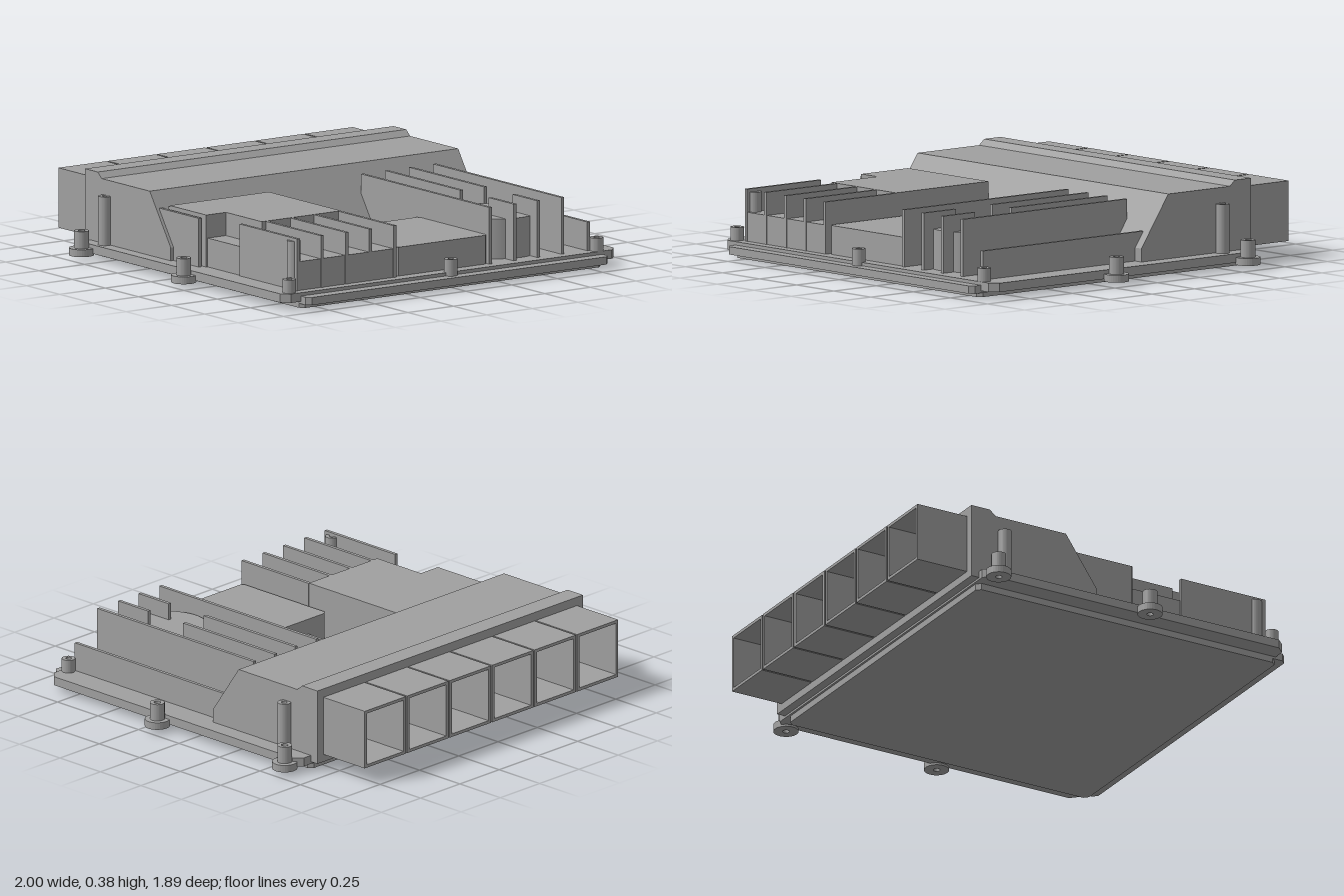
import * as THREE from 'three';

const casting = new THREE.MeshStandardMaterial({ color: 0xa0a0a0 });
casting.name = 'cast grey';

export function createModel() {
  const model = new THREE.Group();
  model.name = 'controlUnit';

  function add(name, geometry) {
    const mesh = new THREE.Mesh(geometry, casting);
    mesh.name = name;
    model.add(mesh);
    return mesh;
  }

  // Box given by its limits on each axis
  function block(name, x0, x1, y0, y1, z0, z1) {
    const mesh = add(name, new THREE.BoxGeometry(x1 - x0, y1 - y0, z1 - z0));
    mesh.position.set((x0 + x1) / 2, (y0 + y1) / 2, (z0 + z1) / 2);
    return mesh;
  }

  const outline = (points) => new THREE.Shape(points.map(([a, b]) => new THREE.Vector2(a, b)));

  // Flat slab with cut corners
  function slab(name, x0, x1, y0, y1, z0, z1, c) {
    const shape = outline([
      [x0 + c, -z1], [x1 - c, -z1], [x1, -z1 + c], [x1, -z0 - c],
      [x1 - c, -z0], [x0 + c, -z0], [x0, -z0 - c], [x0, -z1 + c],
    ]);
    const geometry = new THREE.ExtrudeGeometry(shape, { depth: y1 - y0, bevelEnabled: false });
    geometry.rotateX(-Math.PI / 2).translate(0, y0, 0);
    return add(name, geometry);
  }

  // Hollow upright post
  function ring(name, x, z, r, hole, y0, y1) {
    const shape = new THREE.Shape().absarc(0, 0, r, 0, Math.PI * 2);
    shape.holes.push(new THREE.Path().absarc(0, 0, hole, 0, Math.PI * 2, true));
    const geometry = new THREE.ExtrudeGeometry(shape, { depth: y1 - y0, bevelEnabled: false, curveSegments: 16 });
    geometry.rotateX(-Math.PI / 2).translate(x, y0, z);
    return add(name, geometry);
  }

  // Upright cooling fin running front to back
  const fin = (x, z0, z1, top) => block('coolingFin', x - 0.008, x + 0.008, 0.06, top, z0, z1);

  // Base tray
  slab('baseCover', -0.825, 0.825, 0, 0.035, -0.645, 0.895, 0.02);
  slab('basePlate', -0.915, 0.915, 0.03, 0.07, -0.655, 0.89, 0.035);
  slab('frontLip', -0.825, 0.83, 0.02, 0.055, 0.8, 0.945, 0.02);

  // Connector housing, one side profile in z and y
  const profile = outline([
    [-0.05, 0.06], [-0.05, 0.13], [-0.208, 0.36], [-0.57, 0.36],
    [-0.6, 0.385], [-0.695, 0.385], [-0.695, 0.04], [-0.645, 0.04], [-0.645, 0.06],
  ]);
  const housing = new THREE.ExtrudeGeometry(profile, { depth: 1.69, bevelEnabled: false });
  housing.rotateY(-Math.PI / 2).translate(0.835, 0, 0);
  add('connectorHousing', housing);

  // Six open sockets at the back
  const w = 0.262, wall = 0.014;
  for (let i = 0; i < 6; i++) {
    const frame = outline([[0, 0.075], [w, 0.075], [w, 0.345], [0, 0.345]]);
    frame.holes.push(outline([
      [wall, 0.075 + wall], [wall, 0.345 - wall], [w - wall, 0.345 - wall], [w - wall, 0.075 + wall],
    ]));
    const socket = new THREE.ExtrudeGeometry(frame, { depth: 0.26, bevelEnabled: false });
    add('connectorSocket', socket.translate(-0.817 + i * 0.2704, 0, -0.95));
  }

  // Left raised block with its lower step and fins
  block('raisedBlockRear', -0.813, -0.27, 0.06, 0.305, -0.115, 0.16);
  block('raisedBlockFront', -0.705, -0.27, 0.06, 0.305, 0.16, 0.43);
  block('lowerStep', -0.805, -0.27, 0.06, 0.2, 0.16, 0.842);
  for (const x of [-0.805, -0.675, -0.54, -0.41, -0.276]) fin(x, x < -0.8 ? 0.41 : 0.43, 0.845, 0.304);
  for (const x of [-0.805, -0.675, -0.54, -0.41]) fin(x, -0.125, -0.1, 0.3);
  fin(-0.832, -0.155, 0.14, 0.29);

  // Middle box and the low fins behind it
  slab('middleBox', -0.26, 0.245, 0.06, 0.2, 0.31, 0.83, 0.015);
  for (const x of [-0.135, 0, 0.13]) fin(x, -0.08, 0.31, 0.13);

  // Right round boss, low pad and tall fins
  const boss = add('roundBoss', new THREE.CylinderGeometry(0.187, 0.187, 0.19, 48));
  boss.position.set(0.45, 0.155, 0.61);
  block('lowPad', 0.25, 0.655, 0.06, 0.1, -0.1, 0.335);
  for (const x of [0.25, 0.645]) fin(x, -0.125, 0.842, 0.326);
  for (const x of [0.383, 0.513]) {
    fin(x, -0.125, 0.44, 0.326);
    fin(x, 0.655, 0.842, 0.326);
  }
  fin(0.785, -0.1, 0.845, 0.2);

  // Mounting lugs outside the plate
  for (const [x, z] of [[-0.94, -0.605], [0.935, -0.59], [-0.945, 0.172], [0.942, 0.19]]) {
    ring('mountingLug', x, z, 0.056, 0.015, 0.02, 0.053);
    ring('lugPost', x, z, 0.033, 0.015, 0.05, 0.13);
  }

  // Short and tall posts standing on the plate
  for (const [x, z] of [[-0.86, 0.85], [0.817, 0.86], [0, 0.885]]) {
    ring('shortPost', x, z, 0.03, 0.013, 0.03, 0.13);
  }
  for (const [x, z] of [[-0.867, -0.53], [0.855, -0.51], [-0.798, 0.8]]) {
    ring('tallPost', x, z, 0.03, 0.013, 0.03, 0.29);
  }

  return model;
}
